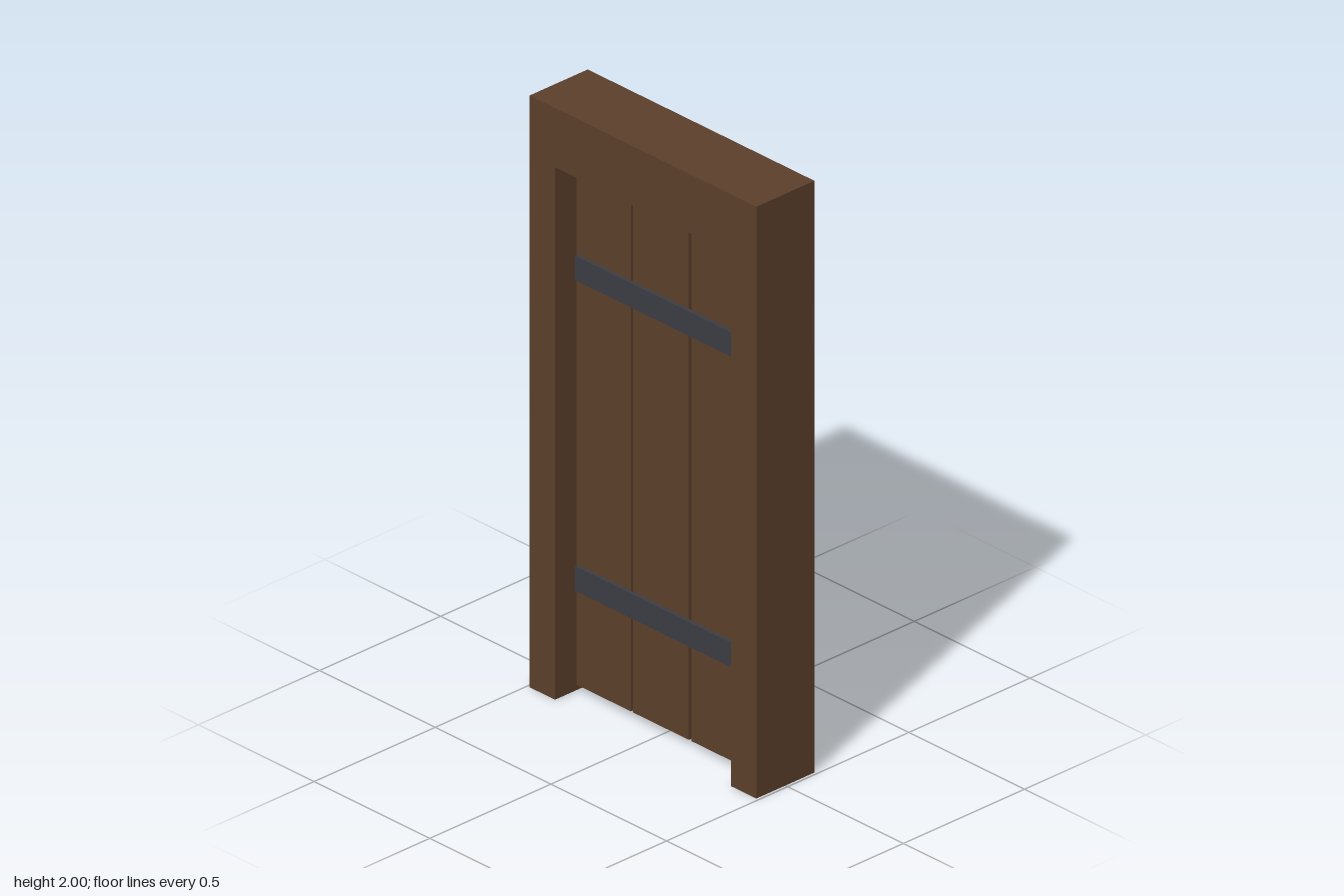
import * as THREE from 'three';

const wood = new THREE.MeshStandardMaterial({ color: 0x5c402b });
wood.name = 'dark wood';
const iron = new THREE.MeshStandardMaterial({ color: 0x3c3c44 });
iron.name = 'dark iron';

// Box given by its lower and upper corners
function block(name, material, [x0, y0, z0], [x1, y1, z1]) {
  const mesh = new THREE.Mesh(new THREE.BoxGeometry(x1 - x0, y1 - y0, z1 - z0), material);
  mesh.position.set((x0 + x1) / 2, (y0 + y1) / 2, (z0 + z1) / 2);
  mesh.name = name;
  return mesh;
}

export function createModel() {
  const model = new THREE.Group();
  model.name = 'plankDoor';

  // Frame: two jambs and a lintel in one piece, open at the floor
  const outline = [[-0.49, 0], [-0.38, 0], [-0.38, 1.8], [0.38, 1.8], [0.38, 0], [0.49, 0], [0.49, 2], [-0.49, 2]];
  const shape = new THREE.Shape(outline.map(([x, y]) => new THREE.Vector2(x, y)));
  const frameGeometry = new THREE.ExtrudeGeometry(shape, { depth: 0.24, bevelEnabled: false });
  frameGeometry.translate(0, 0, -0.12);
  const frame = new THREE.Mesh(frameGeometry, wood);
  frame.name = 'frame';
  model.add(frame);

  // Door leaf: three planks of slightly uneven height
  const door = new THREE.Group();
  door.name = 'door';
  const planks = [[-0.37, -0.136, 1.747], [-0.126, 0.114, 1.752], [0.126, 0.368, 1.742]];
  planks.forEach(([x0, x1, top], i) => {
    door.add(block(`plank${i + 1}`, wood, [x0, 0.025, -0.04], [x1, top, 0.04]));
  });

  // Iron straps across both faces
  for (const [label, y0, y1] of [['lower', 0.35, 0.433], ['upper', 1.4, 1.482]]) {
    door.add(block(`${label}StrapFront`, iron, [-0.363, y0, 0.04], [0.36, y1, 0.053]));
    door.add(block(`${label}StrapBack`, iron, [-0.363, y0, -0.053], [0.36, y1, -0.04]));
  }
  model.add(door);
  return model;
}
